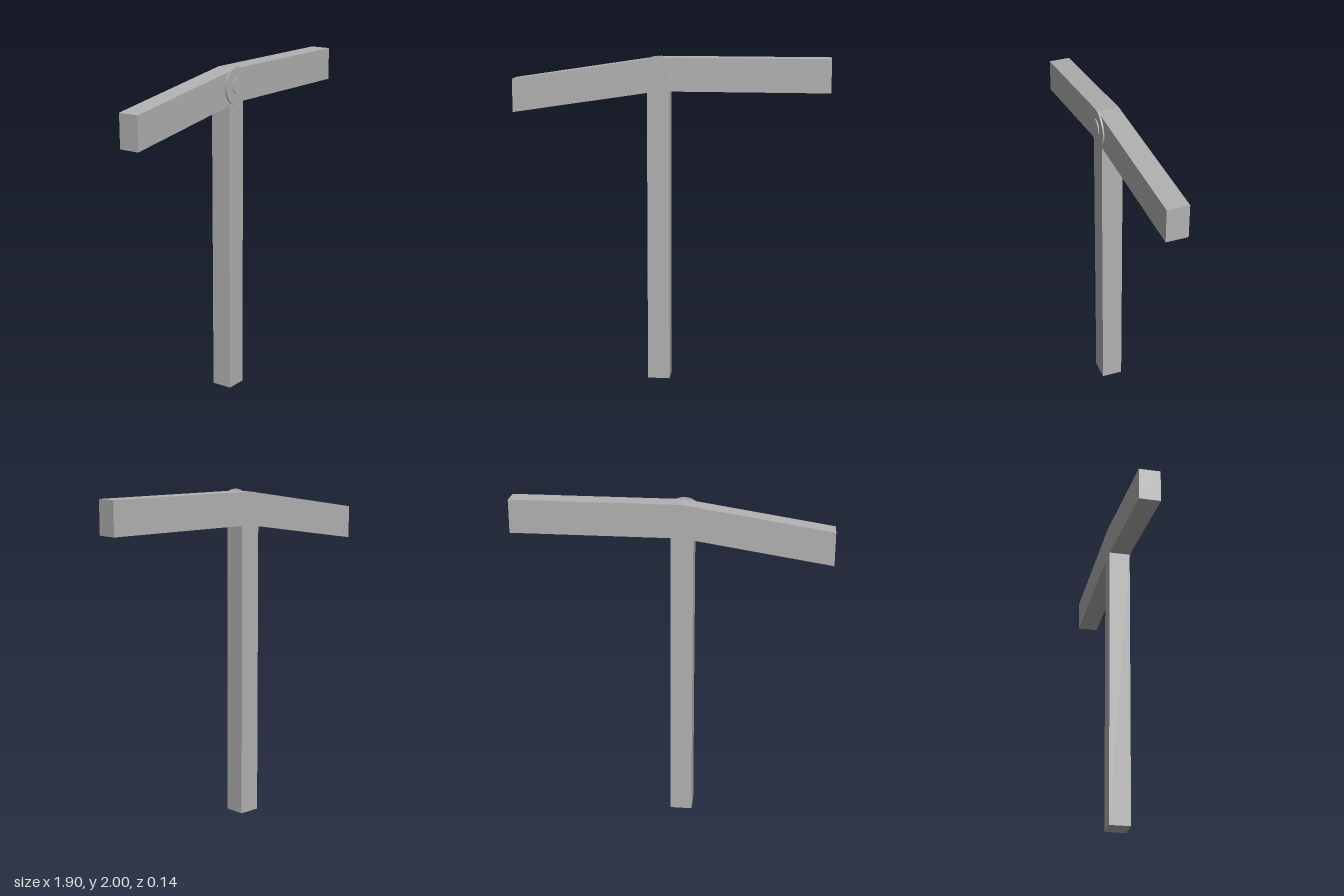
import * as THREE from 'three';

export function createModel() {
  const model = new THREE.Group();
  const grey = new THREE.MeshStandardMaterial({ color: 0xb2b2b2 });
  grey.name = 'plain grey';

  const back = -0.07, front = 0.058;

  // Post and both arms as one T-shaped outline, the right arm drooping
  const outline = [
    [-0.137, 0], [-0.003, 0], [-0.003, 1.79], [0.947, 1.79], [0.947, 1.99],
    [-0.07, 1.99], [-0.953, 1.855], [-0.953, 1.655], [-0.137, 1.78],
  ];
  const shape = new THREE.Shape(outline.map(([x, y]) => new THREE.Vector2(x, y)));
  const frameGeometry = new THREE.ExtrudeGeometry(shape, { depth: front - back, bevelEnabled: false });
  frameGeometry.translate(0, 0, back);
  const frame = new THREE.Mesh(frameGeometry, grey);
  frame.name = 'postAndArms';
  model.add(frame);

  // Thin round plate over the joint with a small raised hub
  const joint = new THREE.Group();
  joint.name = 'jointCover';
  joint.position.set(-0.07, 1.889, 0);
  const addDisc = (name, radius, z0, z1) => {
    const geometry = new THREE.CylinderGeometry(radius, radius, z1 - z0, 48);
    geometry.rotateX(Math.PI / 2);
    const disc = new THREE.Mesh(geometry, grey);
    disc.name = name;
    disc.position.z = (z0 + z1) / 2;
    joint.add(disc);
  };
  addDisc('coverPlate', 0.111, 0.056, 0.067);
  addDisc('coverHub', 0.05, 0.066, 0.073);
  model.add(joint);

  return model;
}
